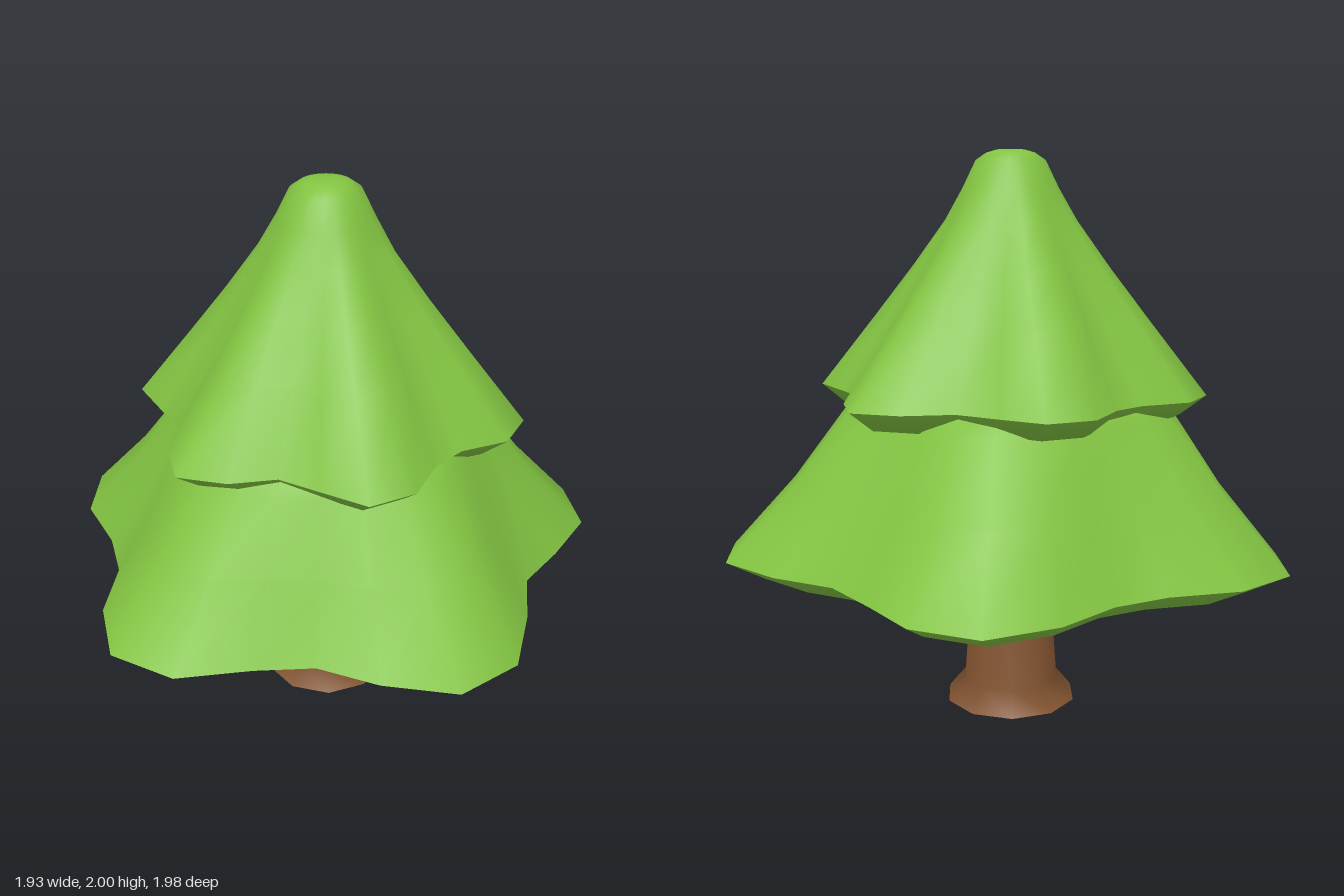
import * as THREE from 'three';

const CX = -0.04, CZ = -0.03; // tree axis

// Wavy hems of the two foliage tiers, as x, z pairs
const LOWER_HEM = [
  0.32, -0.99, 0.53, -0.86, 0.61, -0.62, 0.66, -0.41, 0.81, -0.25, 0.963, -0.04, 0.95, 0.205,
  0.755, 0.38, 0.56, 0.49, 0.44, 0.66, 0.31, 0.885, 0.08, 0.985, -0.15, 0.885, -0.325, 0.72,
  -0.51, 0.645, -0.76, 0.6, -0.955, 0.44, -0.967, 0.195, -0.865, -0.035, -0.83, -0.23, -0.865, -0.47,
  -0.81, -0.72, -0.6, -0.84, -0.37, -0.83, -0.14, -0.83, 0.07, -0.935,
];
const UPPER_HEM = [
  -0.13, -0.745, 0.04, -0.67, 0.15, -0.55, 0.32, -0.525, 0.49, -0.505, 0.56, -0.35, 0.51, -0.18,
  0.53, -0.04, 0.615, 0.12, 0.58, 0.29, 0.42, 0.355, 0.27, 0.415, 0.19, 0.56, 0.05, 0.67,
  -0.115, 0.595, -0.235, 0.48, -0.4, 0.455, -0.565, 0.428, -0.64, 0.27, -0.595, 0.09, -0.61, -0.035,
  -0.7, -0.2, -0.66, -0.365, -0.51, -0.43, -0.356, -0.49, -0.27, -0.645,
];

// Smooth skin through rings [y, scale, roundness, round radius], listed from bottom to top
function skin(hem, rings) {
  const n = hem.length / 2, pos = [], idx = [];
  for (const [y, scale, round = 0, radius = 0] of rings) {
    for (let i = 0; i < n; i++) {
      const dx = hem[2 * i] - CX, dz = hem[2 * i + 1] - CZ, d = Math.hypot(dx, dz);
      const k = THREE.MathUtils.lerp(scale, radius / d, round);
      pos.push(CX + dx * k, y, CZ + dz * k);
    }
  }
  for (let r = 0; r < rings.length - 1; r++) {
    for (let i = 0; i < n; i++) {
      const a = r * n + i, b = r * n + (i + 1) % n;
      idx.push(a, a + n, b, b, a + n, b + n);
    }
  }
  const g = new THREE.BufferGeometry();
  g.setAttribute('position', new THREE.Float32BufferAttribute(pos, 3));
  g.setIndex(idx);
  g.computeVertexNormals();
  return g;
}

export function createModel() {
  const model = new THREE.Group();
  const leaf = new THREE.MeshStandardMaterial({ color: 0x82c341 });
  leaf.name = 'leaf green';
  const bark = new THREE.MeshStandardMaterial({ color: 0x835431 });
  bark.name = 'bark brown';

  const add = (parent, name, geometry, material) => {
    const mesh = new THREE.Mesh(geometry, material);
    mesh.name = name;
    parent.add(mesh);
    return mesh;
  };

  // Each tier: sloping skin, and an underside whose lip tucks in and rises to a hollow
  const tier = (name, hem, hemY, slope) => {
    const g = new THREE.Group();
    g.name = name;
    add(g, name + 'Slope', skin(hem, [[hemY, 1], ...slope]), leaf);
    add(g, name + 'Underside', skin(hem, [
      [hemY + 0.06, 0], [hemY + 0.05, 0.35], [hemY + 0.02, 0.62],
      [hemY - 0.025, 0.77], [hemY - 0.07, 0.87], [hemY, 1],
    ]), leaf);
    model.add(g);
  };
  tier('lowerFoliage', LOWER_HEM, 0.6, [
    [0.85, 0.79, 0.25, 0.73], [1.1, 0.61, 0.65, 0.58], [1.17, 0.53, 0.75, 0.505],
    [1.35, 0.3, 0.9, 0.28], [1.5, 0],
  ]);
  tier('upperFoliage', UPPER_HEM, 1.16, [
    [1.42, 0.715, 0.15, 0.45], [1.6, 0.52, 0.35, 0.33], [1.76, 0.35, 0.65, 0.23], [1.87, 0.25, 0.9, 0.17],
    [1.965, 0.2, 1, 0.122], [1.99, 0.1, 1, 0.085], [2, 0.05, 1, 0.05], [2, 0],
  ]);

  // Trunk with a flared foot
  const trunk = new THREE.Group();
  trunk.name = 'trunk';
  const profile = [[0.242, 0], [0.178, 0.08], [0.146, 0.53], [0.14, 0.68]].map(p => new THREE.Vector2(...p));
  add(trunk, 'trunkStem', new THREE.LatheGeometry(profile, 10, Math.PI / 2), bark);
  const base = add(trunk, 'trunkBase', new THREE.CircleGeometry(0.242, 10), bark);
  base.rotation.x = Math.PI / 2;
  trunk.position.set(CX, 0, CZ);
  model.add(trunk);

  return model;
}
